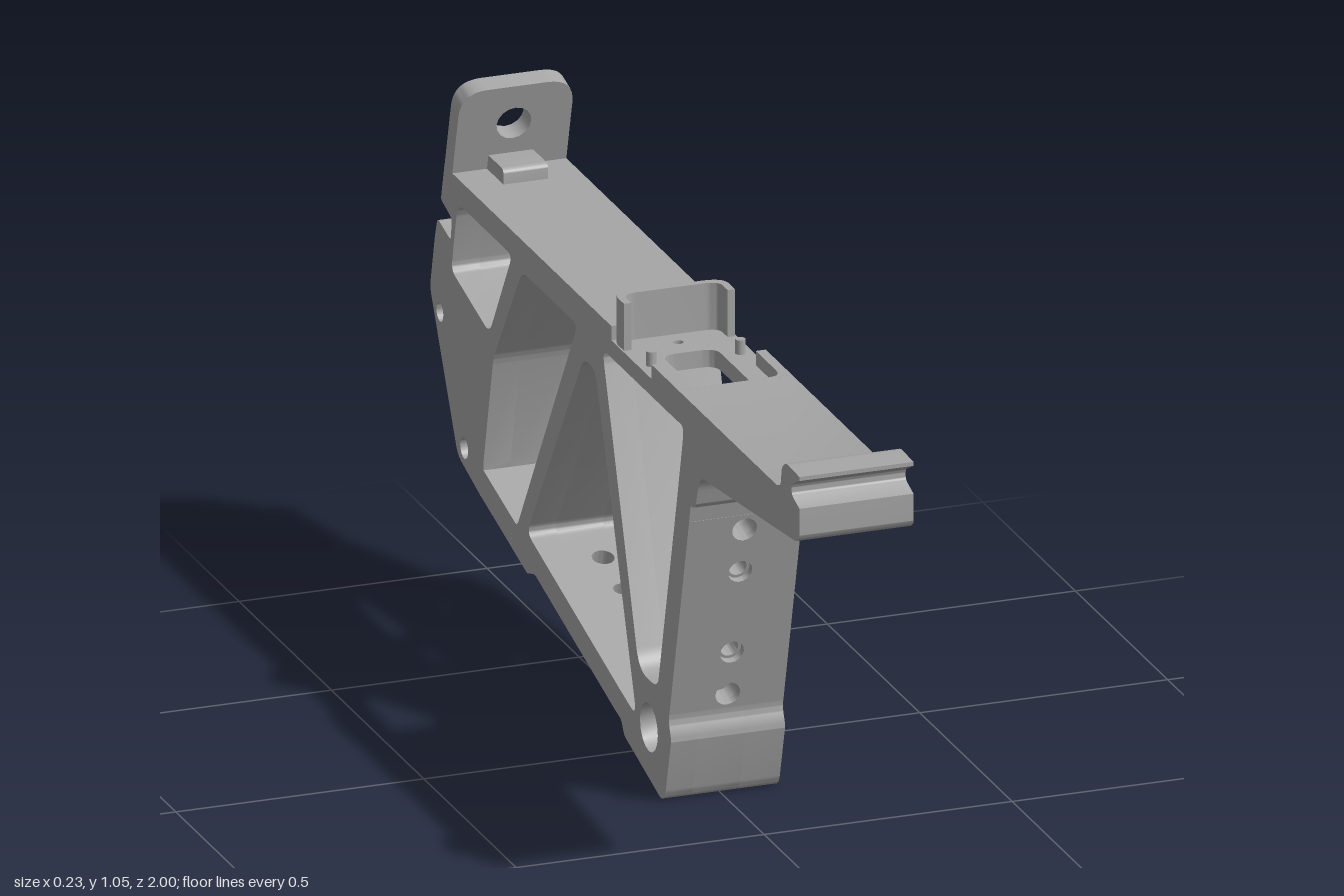
import * as THREE from 'three';
import { toCreasedNormals } from 'three/addons/utils/BufferGeometryUtils.js';

const W = 0.115; // half width of the frame
const U = 186.5; // drafting units per model unit
const metal = new THREE.MeshStandardMaterial({ color: 0xa6a6a6 });
metal.name = 'grey metal';

// Drafting point [across, down, corner radius] to [-z, y, radius]
const pt = ([x, y, r = 0]) => [(x - 686.5) / U, (322 - y) / U, r / U];

// Counter-clockwise polygon whose corners are rounded by each point's third value
function rounded(corners, Type = THREE.Shape) {
  const area = THREE.ShapeUtils.area(corners.map(([x, y]) => ({ x, y })));
  const points = area < 0 ? [...corners].reverse() : corners;
  const s = new Type();
  points.forEach(([x, y, r = 0], i) => {
    const toward = ([qx, qy]) => {
      const l = Math.hypot(qx - x, qy - y);
      const t = Math.min(r, l * 0.48) / l;
      return [x + (qx - x) * t, y + (qy - y) * t];
    };
    const a = toward(points[(i + points.length - 1) % points.length]);
    const b = toward(points[(i + 1) % points.length]);
    if (i === 0) s.moveTo(...a); else s.lineTo(...a);
    if (r > 0) s.quadraticCurveTo(x, y, ...b);
  });
  s.closePath();
  return s;
}

function circle(x, y, r) {
  const p = new THREE.Path();
  p.absarc(x, y, r, 0, Math.PI * 2, false);
  return p;
}

const box = (x0, y0, x1, y1, r = 0) => [[x0, y0, r], [x1, y0, r], [x1, y1, r], [x0, y1, r]];

function extrude(name, shape, depth, holes = []) {
  shape.holes.push(...holes);
  const g = new THREE.ExtrudeGeometry(shape, { depth, bevelEnabled: false, curveSegments: 8 });
  const m = new THREE.Mesh(toCreasedNormals(g, 0.6), metal);
  m.name = name;
  return m;
}

export function createModel() {
  const model = new THREE.Group();
  model.name = 'bracketFrame';
  // Profile space: local x = -z, local y = y, local z = x
  const side = new THREE.Group();
  side.name = 'profileParts';
  side.rotation.y = Math.PI / 2;
  model.add(side);

  const layer = (name, points, x0, x1, holes) => {
    const m = extrude(name, rounded(points.map(pt)), x1 - x0, holes);
    m.position.z = x0;
    side.add(m);
  };
  // Slab lying along a line of the profile, drilled or cut across its face
  const slab = (name, from, to, shape, depth, holes, offset = 0) => {
    const [ax, ay] = pt(from), [bx, by] = pt(to);
    const m = extrude(name, shape, depth, holes);
    const u = new THREE.Vector3(bx - ax, by - ay, 0).normalize();
    const w = new THREE.Vector3(0, 0, 1);
    const n = u.clone().cross(w);
    m.applyMatrix4(new THREE.Matrix4().makeBasis(u, w, n)
      .setPosition(ax + n.x * offset, ay + n.y * offset, 0));
    side.add(m);
  };
  const drilledBar = (name, from, to, depth, drill, offset) => {
    const len = Math.hypot(to[0] - from[0], to[1] - from[1]) / U;
    slab(name, from, to, rounded(box(0, -W, len, W)), depth,
      drill.map(([d, r]) => circle(d, 0, r)), offset);
  };

  // Front arm with hooked tip
  layer('frontArm', [
    [500, 151], [514, 150.5, 3], [518, 154, 2], [519, 161, 2], [523, 162.2], [623, 162.2],
    [623, 174], [616.5, 174, 6], [623.9, 204.9], [611.5, 208], [609.9, 201.5], [605, 200.5, 2],
    [601, 187, 8], [590, 186], [503, 176.5, 2], [500, 174, 1], [500, 163], [508, 160.5, 2],
    [508, 156.5, 2], [500, 152.5],
  ], -W, W);

  // Truss frame: top rail, struts, lower corner and rear block
  const frame = (rear) => [
    [690, 162.2], [858.5, 162.2], [862, 176, 1], [851, 179.5, 2], [852, 188, 2], [865.5, 184.5, 2],
    ...rear,
    [821.8, 273.7], [819, 263], [819, 260], [809, 217, 3], [780, 174, 5], [724, 174, 5],
    [785, 271.7, 3], [789, 270.8], [791.6, 281.6], [775, 286, 1], [768, 283.8, 1],
    [765.7, 284], [763, 274], [775, 270.7, 5], [718, 184.5, 5], [706, 184.5, 5],
    [664.5, 300.5, 6], [682, 296], [684.7, 306], [680, 307, 2], [677, 312, 2],
    [636.5, 323.5, 6], [629.5, 297, 1], [632, 291, 2], [631.5, 288], [643.9, 284.9],
    [640.5, 274], [643.5, 282, 6], [662, 282, 8], [699, 174, 6], [690, 174],
  ];
  const fullRear = [[868, 192], [873, 213, 3], [845, 266.5, 4]];
  const cutRear = [[868, 195], [848, 206], [812, 214, 2], [825.5, 252, 3], [827.5, 263, 3]];
  const hole = (x, y, r) => circle(...pt([x, y, r]));
  const baseHoles = () => [
    hole(652, 300, 9),
    rounded([[790, 171.5, 5], [845, 171.5, 6], [851.5, 199, 4], [813, 209, 5]].map(pt), THREE.Path),
  ];
  const pinHoles = () => [hole(863, 219, 3.5), hole(838.5, 261.5, 4)];
  const pocket = rounded([[815, 213.5, 3], [849, 206, 5], [858, 234, 4], [848, 250, 5], [831, 258, 5],
    [823.5, 250, 3]].map(pt), THREE.Path);
  layer('frameOuterLayer', frame(fullRear), -W, -0.06, [...baseHoles(), ...pinHoles()]);
  layer('framePocketLayer', frame(fullRear), -0.06, 0.035, [...baseHoles(), ...pinHoles(), pocket]);
  layer('frameSteppedLayer', frame(cutRear), 0.035, W, baseHoles());

  // Front leg in layers: one through hole, one blind hole, two counterbored holes
  const legLayer = (offset, depth, drill) =>
    drilledBar('frontLeg', [623.9, 204.9], [643.9, 284.9], depth, drill, offset);
  legLayer(0, 0.02, [[0.034, 0.025]]);
  legLayer(0.02, 0.034, [[0.034, 0.025], [0.13, 0.018], [0.315, 0.018], [0.41, 0.025]]);
  legLayer(0.054, 0.015, [[0.034, 0.025], [0.13, 0.024], [0.315, 0.024], [0.41, 0.025]]);

  // Drilled lower bars
  drilledBar('lowerBar', [682, 296], [763, 274], 0.056,
    [[0.04, 0.017], [0.13, 0.02], [0.305, 0.017], [0.41, 0.022]]);
  drilledBar('rearLowerBar', [789, 270.8], [819, 263], 0.059, [[0.11, 0.022]]);

  // Seat cut into the top rail: floor with slot, side rims, curved stop and pins
  const topPart = (name, y, shape, depth, holes) =>
    slab(name, [686.5, 322 - y * U], [700, 322 - y * U], shape, depth, holes);
  topPart('seatFloor', 0.828, rounded(box(-0.341, -W, 0.02, W)), 0.035, [
    rounded(box(-0.29, -0.055, -0.09, 0.055, 0.03), THREE.Path),
    circle(-0.31, 0, 0.01), circle(-0.035, 0, 0.01),
  ]);
  for (const k of [-1, 1]) {
    topPart('seatRim', 0.857, rounded([
      [-0.341, k * W], [-0.2, k * W], [-0.2, k * 0.095], [-0.335, k * 0.095, 0.03],
      [-0.341, k * 0.06],
    ]), 0.029);
    const pin = new THREE.Mesh(new THREE.CylinderGeometry(0.01, 0.01, 0.03, 16), metal);
    pin.name = 'seatPin';
    pin.position.set(k * 0.09, 0.842, 0.13);
    model.add(pin);
  }
  topPart('curvedStop', 0.923, rounded([
    [-0.042, -0.112], [0.022, -0.112, 0.045], [0.022, 0.112, 0.045], [-0.042, 0.112],
    [-0.042, 0.097], [0.007, 0.097, 0.03], [0.007, -0.097, 0.03], [-0.042, -0.097],
  ]), 0.095);

  // Tilted rear tab with rounded top and bolt holes
  const tab = extrude('rearTab', rounded([[-W, 0], [W, 0], [W, 0.212, 0.055], [-W, 0.212, 0.055]]), 0.041,
    [circle(0, 0.127, 0.035), circle(0, 0.038, 0.018)]);
  tab.position.set(0, 0.84, -0.926);
  tab.rotation.x = 0.255;
  model.add(tab);

  // Small step in front of the tab, with a softened front edge
  const step = extrude('tabStep',
    rounded([[0.79, 0.85], [0.88, 0.85], [0.88, 0.887], [0.79, 0.887, 0.012]]), 0.09);
  step.position.z = -0.045;
  side.add(step);

  return model;
}
